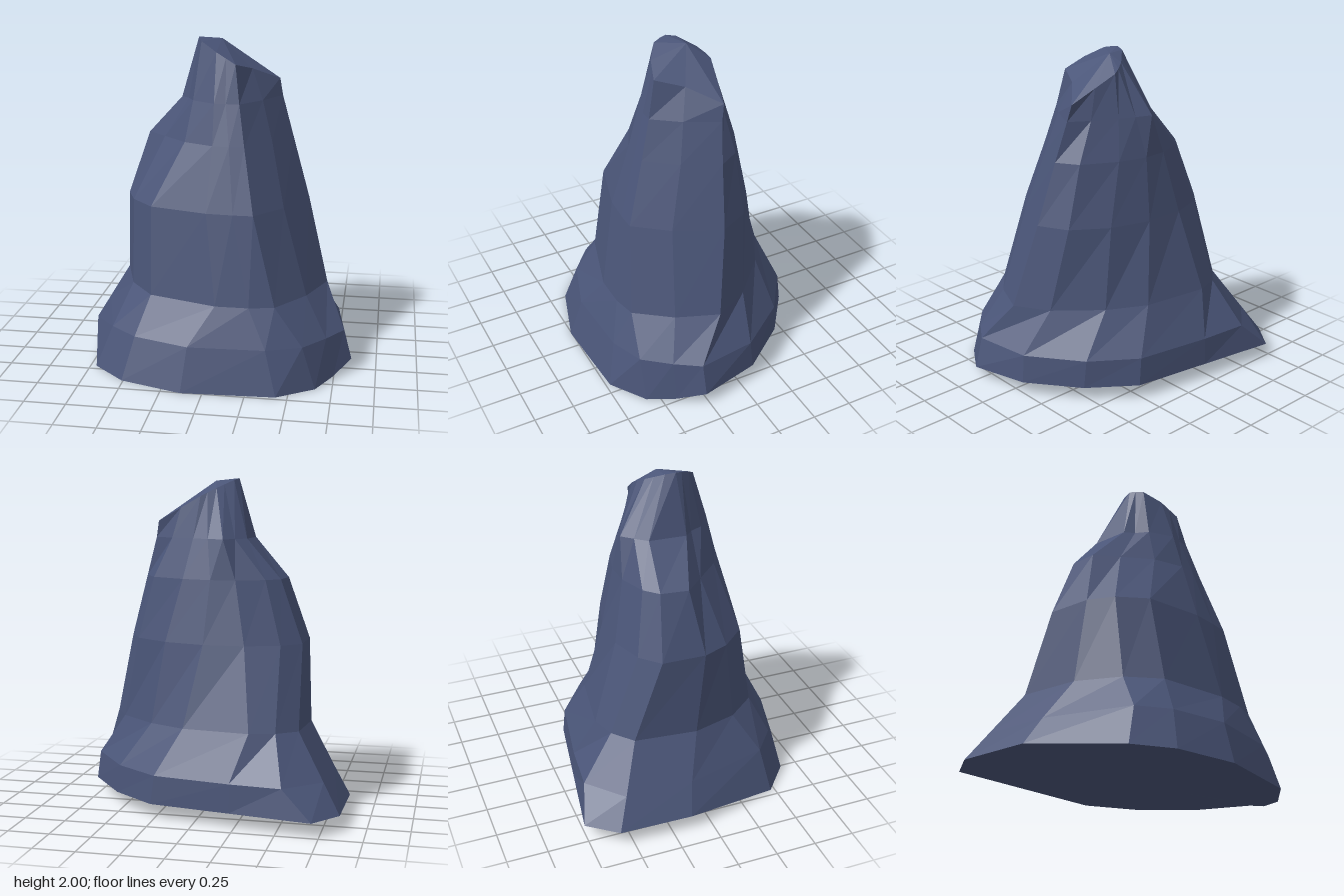
import * as THREE from 'three';

const SIDES = 14;

// Cross-sections as x, z pairs, running from the back-left corner past the left, the front and the right.
const skirtRings = [
  [-.71, -.76, -.85, -.58, -.86, -.13, -.71, .47, -.51, .64, -.13, .755, .43, .725,
    .65, .58, .75, .425, .85, .27, .77, -.10, .54, -.40, .27, -.60, -.22, -.68],
  [-.53, -.70, -.745, -.505, -.755, -.09, -.61, .43, -.44, .57, -.10, .68, .36, .66,
    .57, .58, .70, .42, .80, .27, .75, -.09, .52, -.40, .25, -.59, -.22, -.67],
  [-.46, -.50, -.58, -.39, -.60, 0, -.51, .28, -.36, .46, .05, .58, .25, .58,
    .40, .55, .57, .34, .68, .09, .57, -.13, .33, -.36, .10, -.49, -.31, -.55],
];
const spireRings = [
  skirtRings[2],
  [-.455, -.32, -.57, -.21, -.575, .06, -.51, .22, -.37, .37, -.02, .47, .14, .48,
    .26, .48, .42, .28, .55, 0, .46, -.18, .25, -.32, 0, -.39, -.25, -.39],
  [-.35, -.25, -.43, -.17, -.45, 0, -.33, .12, -.18, .27, 0, .355, .10, .365,
    .19, .36, .335, .18, .44, -.04, .36, -.17, .15, -.28, -.03, -.325, -.18, -.315],
  [-.16, -.23, -.22, -.16, -.23, .07, -.18, .12, -.14, .20, 0, .29, .07, .29,
    .15, .29, .27, .13, .37, -.07, .25, -.145, .10, -.22, 0, -.26, -.10, -.295],
  [-.06, -.07, -.11, -.02, -.13, .04, -.12, .08, -.10, .13, 0, .20, .06, .22,
    .12, .24, .20, .08, .35, -.09, .20, -.125, .07, -.155, .03, -.14, -.02, -.11],
];

// Turns a flat ring into points, with the height given by a rule in x and z.
function lift(ring, height) {
  return Array.from({ length: SIDES }, (_, i) => {
    const x = ring[2 * i], z = ring[2 * i + 1];
    return new THREE.Vector3(x, height(x, z), z);
  });
}

// Faceted wall through the rings, with optional fans closing the bottom and the top.
function loft(rings, bottom, top) {
  const points = [];
  for (let r = 0; r < rings.length - 1; r++) {
    for (let i = 0; i < SIDES; i++) {
      const j = (i + 1) % SIDES;
      const a = rings[r][i], b = rings[r][j], c = rings[r + 1][j], d = rings[r + 1][i];
      points.push(a, b, c, a, c, d);
    }
  }
  const last = rings[rings.length - 1];
  for (let i = 0; i < SIDES; i++) {
    const j = (i + 1) % SIDES;
    if (bottom) points.push(bottom, rings[0][j], rings[0][i]);
    if (top) points.push(top, last[i], last[j]);
  }
  const geometry = new THREE.BufferGeometry().setFromPoints(points);
  geometry.computeVertexNormals();
  return geometry;
}

export function createModel() {
  const stone = new THREE.MeshStandardMaterial({ color: 0x4a5578 });
  stone.name = 'slate blue stone';
  stone.flatShading = true;

  // The underside and the waist rise towards the back; the peak slopes down to the right.
  const underside = (x, z) => THREE.MathUtils.clamp(0.17 - 0.35 * z, 0, 0.09);
  const waist = (x, z) => 0.51 - 0.04 * z;
  const peak = (x) => 2 - 0.54 * (x + 0.13);
  const level = (y) => () => y;

  const skirtHeights = [underside, level(0.26), waist];
  const spireHeights = [waist, level(1.02), level(1.4), level(1.64), peak];

  const skirt = new THREE.Mesh(
    loft(skirtRings.map((r, i) => lift(r, skirtHeights[i])), new THREE.Vector3(0, 0.05, 0), null), stone);
  skirt.name = 'flaredRockBase';

  const spire = new THREE.Mesh(
    loft(spireRings.map((r, i) => lift(r, spireHeights[i])), null, new THREE.Vector3(0, 1.985, -0.03)), stone);
  spire.name = 'rockSpire';

  const group = new THREE.Group();
  group.name = 'rock';
  group.add(skirt, spire);
  return group;
}
